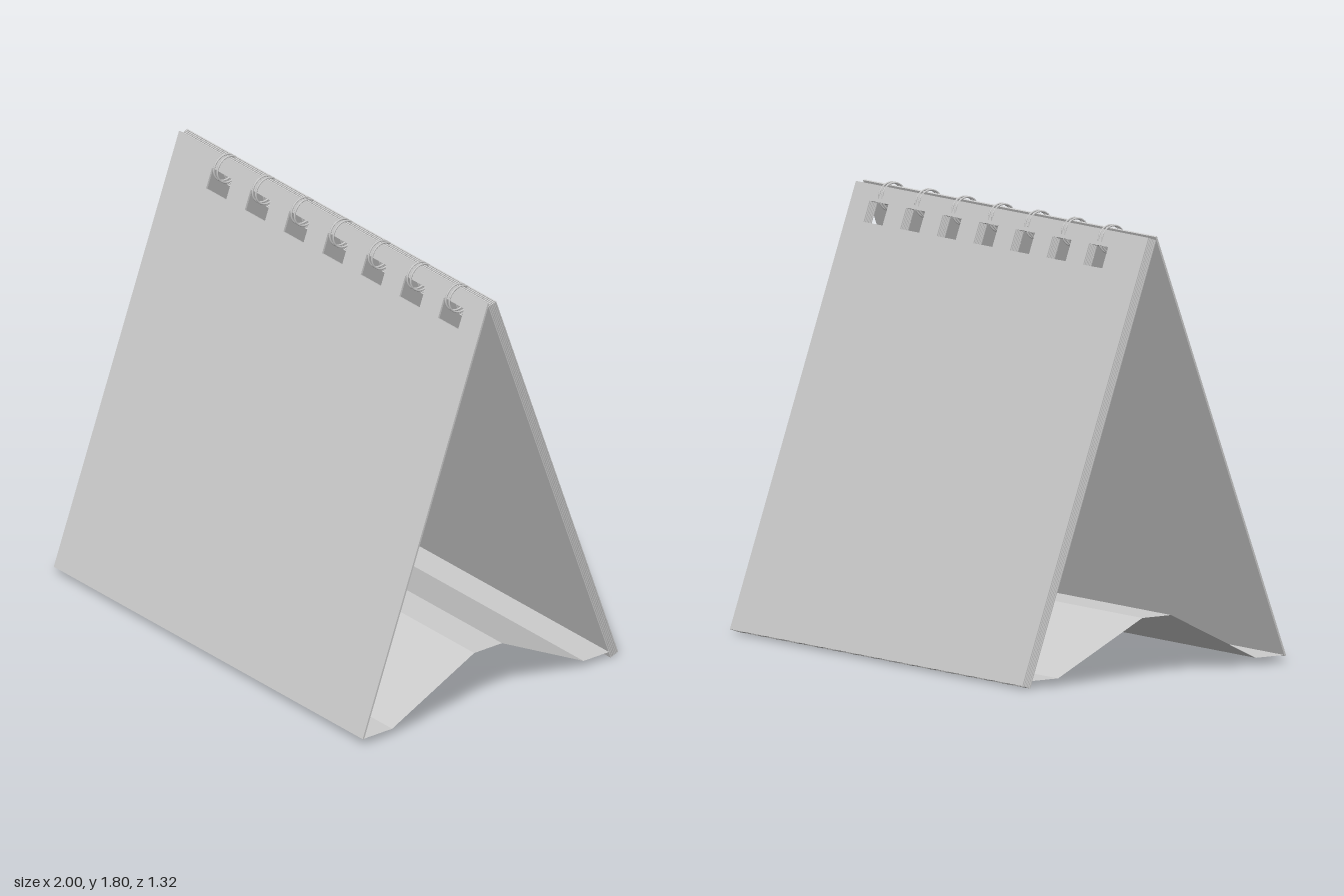
import * as THREE from 'three';

const material = new THREE.MeshStandardMaterial({ color: 0xcccccc });
const sheetMaterial = new THREE.MeshStandardMaterial({ color: 0xcccccc, side: THREE.DoubleSide });

const SLOTS = 7, SLOT_PITCH = 0.25, SLOT_WIDTH = 0.13;
const slotX = (i) => 0.058 + (i - 3) * SLOT_PITCH;

const rectPoints = (x0, y0, x1, y1) => [
  new THREE.Vector2(x0, y0), new THREE.Vector2(x1, y0),
  new THREE.Vector2(x1, y1), new THREE.Vector2(x0, y1),
];

// Flat sheet hanging down from its top edge, punched with a row of slots
function punchedSheet(length, depth) {
  const shape = new THREE.Shape(rectPoints(-1, -length, 0.997, 0));
  for (let i = 0; i < SLOTS; i++) {
    const x = slotX(i), h = SLOT_WIDTH / 2;
    shape.holes.push(new THREE.Path(rectPoints(x - h, -0.157, x + h, -0.068)));
  }
  return new THREE.ExtrudeGeometry(shape, { depth, bevelEnabled: false });
}

function add(parent, name, geometry, mat = material) {
  const mesh = new THREE.Mesh(geometry, mat);
  mesh.name = name;
  parent.add(mesh);
  return mesh;
}

export function createModel() {
  const model = new THREE.Group();
  model.name = 'deskCalendar';

  // Front leaning panel
  const front = add(model, 'frontPanel', punchedSheet(1.874, 0.008));
  front.position.set(0, 1.785, 0.008);
  front.rotation.x = -0.351;

  // Back stack of pages with narrow gaps between them
  const stack = new THREE.Group();
  stack.name = 'pageStack';
  const page = punchedSheet(1.879, 0.005);
  for (let i = 0; i < 6; i++) {
    add(stack, 'page', page).position.z = -0.005 - i * 0.0074;
  }
  stack.position.set(0, 1.771, 0.012);
  stack.rotation.x = 0.341;
  model.add(stack);

  // Folded base: a thin strip with a raised ridge joining the two panels
  const fold = [[0.652, 0.03], [0.51, 0.03], [0.088, 0.24], [-0.055, 0.24], [-0.475, 0.03], [-0.612, 0.03]];
  const positions = [], indices = [];
  for (let i = 0; i < fold.length - 1; i++) {
    const [z0, y0] = fold[i], [z1, y1] = fold[i + 1];
    positions.push(-0.997, y0, z0, 1, y0, z0, 1, y1, z1, -0.997, y1, z1);
    const k = i * 4;
    indices.push(k, k + 1, k + 2, k, k + 2, k + 3);
  }
  const base = new THREE.BufferGeometry();
  base.setAttribute('position', new THREE.Float32BufferAttribute(positions, 3));
  base.setIndex(indices);
  base.computeVertexNormals();
  add(model, 'foldedBase', base, sheetMaterial);

  // Paired wire rings threaded through the slots
  const ring = new THREE.TorusGeometry(0.057, 0.004, 8, 40);
  ring.rotateY(Math.PI / 2);
  for (let i = 0; i < SLOTS; i++) {
    for (const side of [-1, 1]) {
      add(model, 'bindingRing', ring).position.set(slotX(i) + side * 0.011, 1.74, 0.015);
    }
  }

  return model;
}
